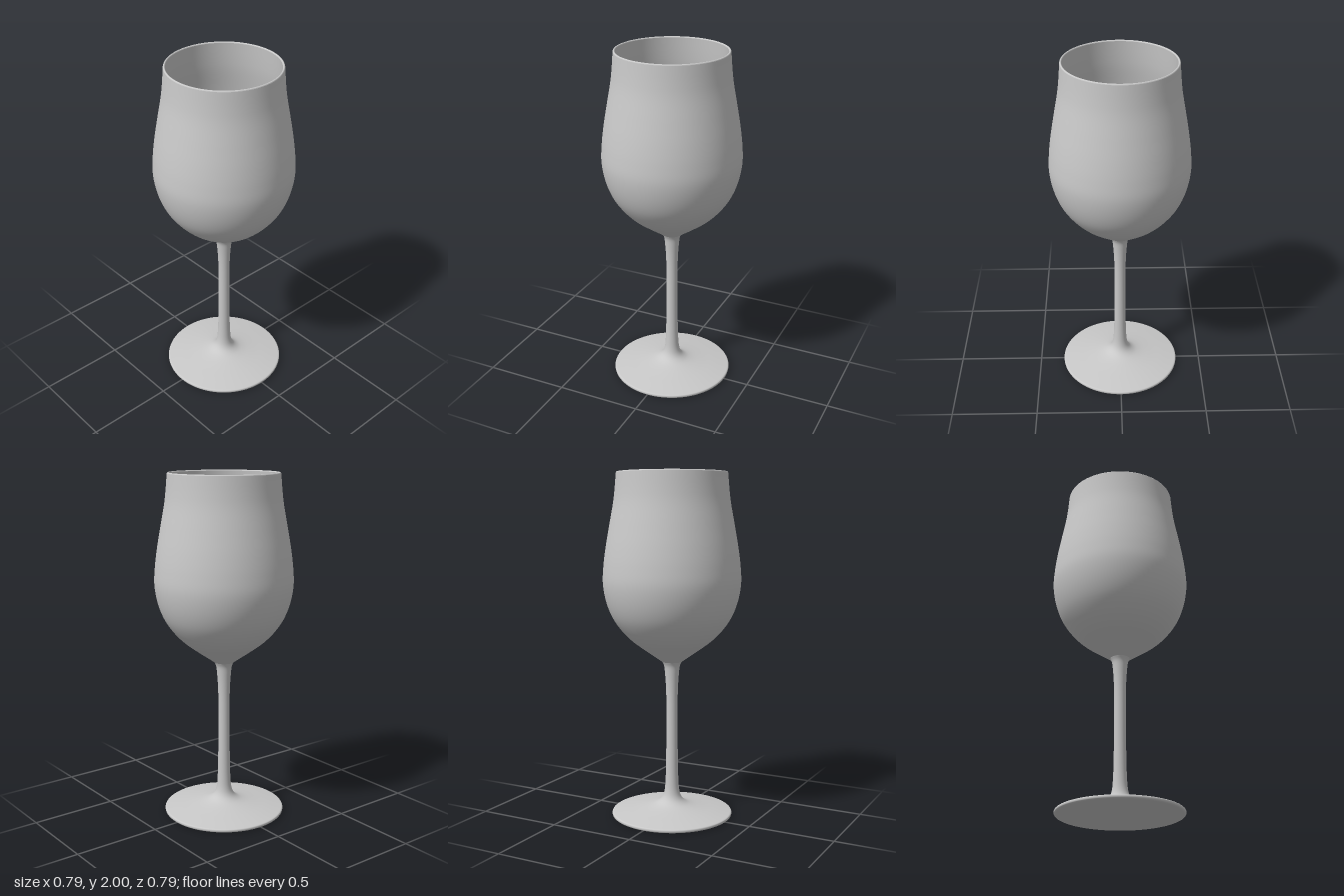
import * as THREE from 'three';

const SIDES = 96;

// Smooth curve through a few [radius, height] points
function smoothProfile(points, samples) {
  return new THREE.SplineCurve(points.map(([r, y]) => new THREE.Vector2(r, y))).getPoints(samples);
}

export function createModel() {
  const group = new THREE.Group();
  const glass = new THREE.MeshStandardMaterial({ color: 0xc8c8c8 });
  glass.name = 'pale grey';

  function addLathe(name, profile) {
    const points = profile.map((p) => new THREE.Vector2(Math.max(p.x, 0), p.y));
    const mesh = new THREE.Mesh(new THREE.LatheGeometry(points, SIDES), glass);
    mesh.name = name;
    group.add(mesh);
  }

  // Flat underside of the foot
  addLathe('footUnderside', [new THREE.Vector2(0, 0), new THREE.Vector2(0.345, 0)]);

  // Rounded edge of the foot
  addLathe('footEdge', smoothProfile([
    [0.345, 0], [0.352, 0.004], [0.354, 0.011], [0.352, 0.018], [0.345, 0.021],
  ], 12));

  // Foot sweeping up into the stem and flaring under the bowl
  addLathe('footAndStem', smoothProfile([
    [0.345, 0.021], [0.27, 0.034], [0.19, 0.047], [0.125, 0.06], [0.085, 0.075],
    [0.058, 0.1], [0.044, 0.14], [0.038, 0.21], [0.035, 0.32], [0.033, 0.5],
    [0.033, 0.68], [0.036, 0.78], [0.041, 0.85], [0.046, 0.89], [0.056, 0.914],
  ], 90));

  // Outer wall of the bowl
  addLathe('bowlOutside', smoothProfile([
    [0.056, 0.914], [0.1, 0.945], [0.165, 0.99], [0.235, 1.043], [0.295, 1.105],
    [0.345, 1.18], [0.379, 1.27], [0.396, 1.37], [0.392, 1.47], [0.378, 1.58],
    [0.357, 1.7], [0.335, 1.82], [0.325, 1.9], [0.317, 1.994],
  ], 80));

  // Rounded lip
  addLathe('rim', smoothProfile([
    [0.317, 1.994], [0.315, 1.998], [0.311, 2], [0.307, 1.998], [0.305, 1.994],
  ], 12));

  // Inner wall of the bowl, from the lip down to the centre
  addLathe('bowlInside', smoothProfile([
    [0.305, 1.994], [0.313, 1.9], [0.323, 1.82], [0.345, 1.7], [0.366, 1.58],
    [0.38, 1.47], [0.384, 1.37], [0.367, 1.275], [0.334, 1.188], [0.285, 1.117],
    [0.227, 1.057], [0.157, 1.004], [0.09, 0.965], [0.04, 0.946], [0, 0.941],
  ], 80));

  return group;
}
